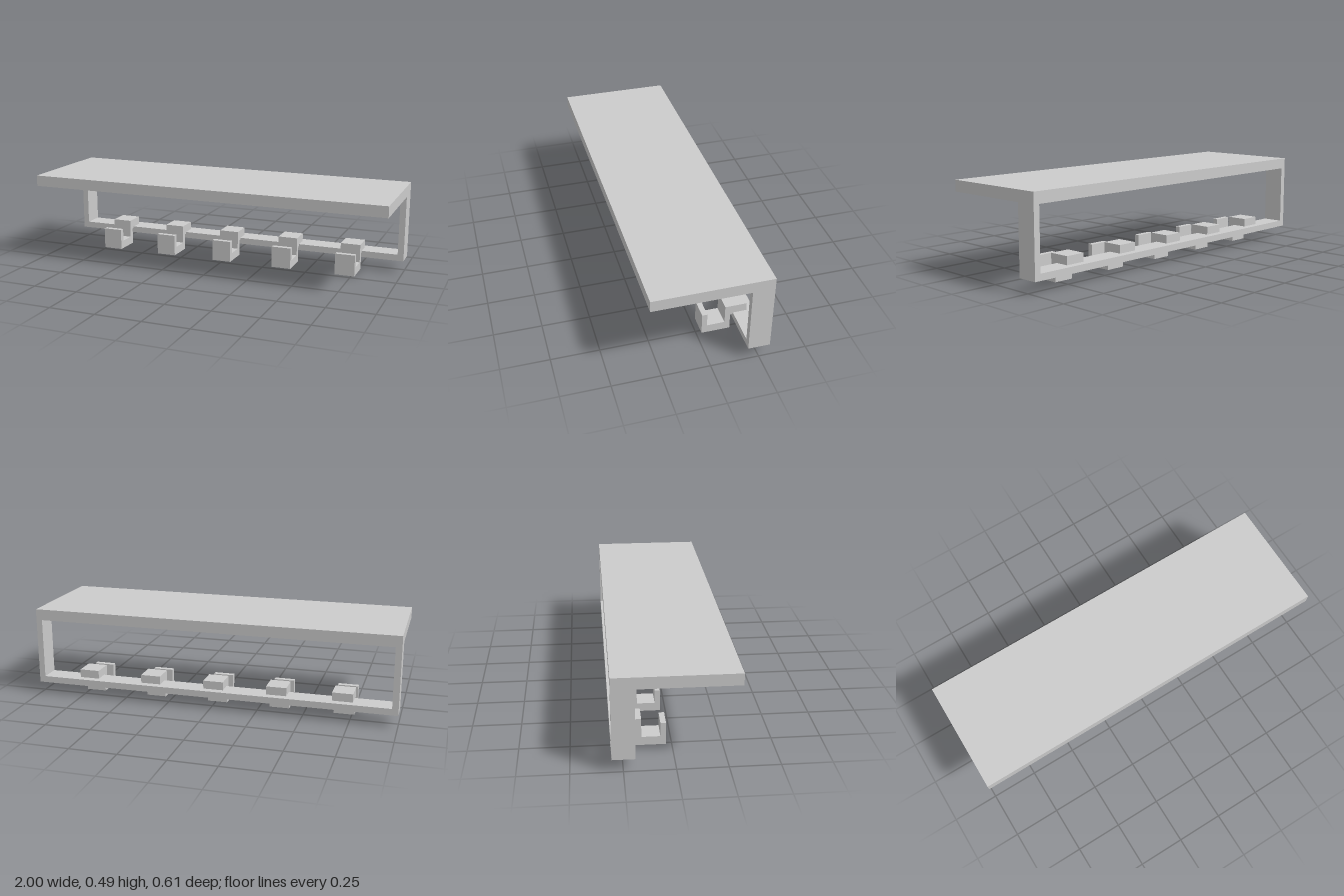
import * as THREE from 'three';

const material = new THREE.MeshStandardMaterial({ color: 0xcccccc, flatShading: true });

// Box given by its minimum and maximum corners
function addBox(parent, name, min, max) {
  const size = max.map((v, i) => v - min[i]);
  const mesh = new THREE.Mesh(new THREE.BoxGeometry(...size), material);
  mesh.position.set(...max.map((v, i) => (v + min[i]) / 2));
  mesh.name = name;
  parent.add(mesh);
}

// Hook side profile as [z, y] points, extruded along x
function hookGeometry(width) {
  const profile = [
    [-0.028, 0], [-0.028, 0.118], [-0.056, 0.118], [-0.056, 0.045], [-0.15, 0.045],
    [-0.15, 0.145], [-0.265, 0.145], [-0.265, 0.09], [-0.178, 0.09], [-0.178, 0],
  ];
  const shape = new THREE.Shape(profile.map(([z, y]) => new THREE.Vector2(-z, y)));
  const geometry = new THREE.ExtrudeGeometry(shape, { depth: width, bevelEnabled: false });
  return geometry.translate(0, 0, -width / 2).rotateY(Math.PI / 2);
}

export function createModel() {
  const rack = new THREE.Group();
  rack.name = 'wallShelfWithHooks';

  // Top board
  addBox(rack, 'shelfBoard', [-1, 0.427, -0.305], [1, 0.487, 0.305]);

  // Open frame below the rear edge
  const back = -0.305, front = -0.192, wall = 0.033;
  addBox(rack, 'leftUpright', [1 - wall, 0.065, back], [1, 0.427, front]);
  addBox(rack, 'rightUpright', [-1, 0.065, back], [-1 + wall, 0.427, front]);
  addBox(rack, 'bottomRail', [-1 + wall, 0.065, back], [1 - wall, 0.1, front]);

  // Row of hooks seated on the rail
  const hook = hookGeometry(0.11);
  [-0.708, -0.356, -0.008, 0.35, 0.713].forEach((x, i) => {
    const mesh = new THREE.Mesh(hook, material);
    mesh.position.x = x;
    mesh.name = `hook${i + 1}`;
    rack.add(mesh);
  });

  return rack;
}
